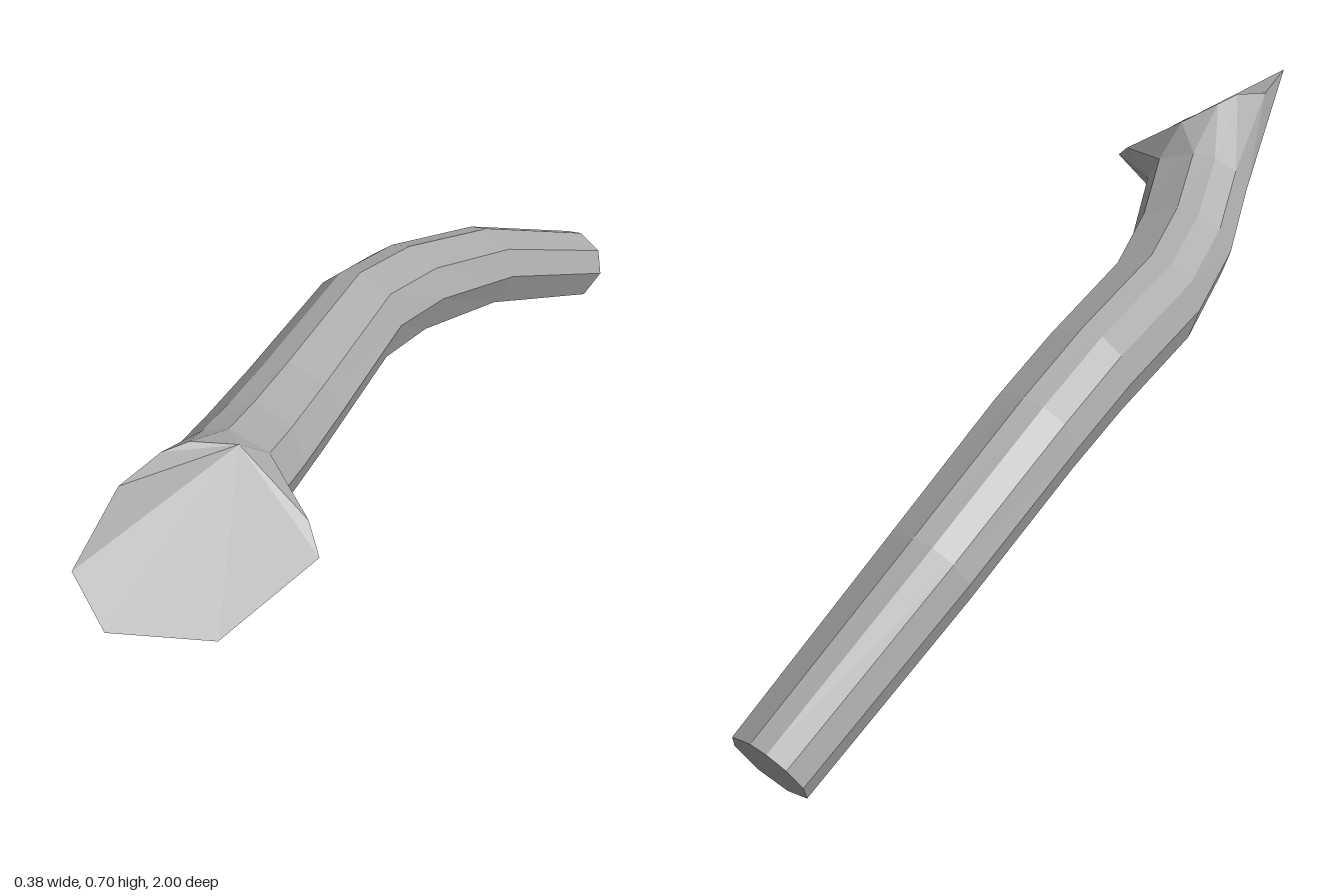
import * as THREE from 'three';

// Angles round the trunk, clockwise as seen from the front, starting on top
const ANGLES = [90, 45, 5, -45, -90, -140, -180, -215, -245];

// Centre x, y, z, half width, half height, pitch and yaw in degrees, back to front
const SECTIONS = [
  [0.11, 0.073, -0.965, 0.08, 0.076, 27, 17],
  [0.0, 0.268, -0.6, 0.09, 0.085, 25, 14],
  [-0.058, 0.385, -0.3, 0.094, 0.092, 18, 8],
  [-0.082, 0.428, -0.12, 0.094, 0.098, 7, 3],
  [-0.088, 0.436, 0.2, 0.101, 0.101, 3, 0],
  [-0.075, 0.475, 0.4, 0.104, 0.102, 20, -3],
  [-0.047, 0.54, 0.56, 0.105, 0.1, 27, -8],
];

// Rim of the slanted cut, with a spur on the left
const CUT_RIM = [
  [0, 0.665, 0.585], [0.135, 0.575, 0.62], [0.17, 0.54, 0.66],
  [0.105, 0.55, 0.9], [-0.03, 0.61, 1.0], [-0.1, 0.675, 0.96],
  [-0.12, 0.685, 0.77], [-0.085, 0.703, 0.69], [-0.06, 0.695, 0.64],
].map((p) => new THREE.Vector3(...p));

function makeRing([x, y, z, rx, ry, pitch, yaw]) {
  const p = THREE.MathUtils.degToRad(pitch);
  const w = THREE.MathUtils.degToRad(yaw);
  const right = new THREE.Vector3(Math.cos(w), 0, Math.sin(w));
  const up = new THREE.Vector3(Math.sin(p) * Math.sin(w), Math.cos(p), -Math.sin(p) * Math.cos(w));
  return ANGLES.map((deg) => {
    const a = THREE.MathUtils.degToRad(deg);
    return new THREE.Vector3(x, y, z)
      .addScaledVector(right, rx * Math.cos(a))
      .addScaledVector(up, ry * Math.sin(a));
  });
}

function facetMesh(name, points, material) {
  const geometry = new THREE.BufferGeometry().setFromPoints(points);
  geometry.computeVertexNormals();
  const mesh = new THREE.Mesh(geometry, material);
  mesh.name = name;
  return mesh;
}

// Fan of triangles closing a ring
function fan(ring, facesFront) {
  const points = [];
  for (let k = 1; k < ring.length - 1; k++) {
    points.push(ring[0], ring[facesFront ? k + 1 : k], ring[facesFront ? k : k + 1]);
  }
  return points;
}

export function createModel() {
  const group = new THREE.Group();
  group.name = 'branch';
  const wood = new THREE.MeshStandardMaterial({ color: 0xaaaaaa });
  wood.name = 'grey wood';
  wood.flatShading = true;

  // Bark: bands of facets between neighbouring rings
  const rings = [...SECTIONS.map(makeRing), CUT_RIM];
  const bark = [];
  for (let i = 0; i < rings.length - 1; i++) {
    for (let k = 0; k < ANGLES.length; k++) {
      const n = (k + 1) % ANGLES.length;
      const a = rings[i][k], b = rings[i][n];
      const c = rings[i + 1][k], d = rings[i + 1][n];
      bark.push(a, c, b, b, c, d);
    }
  }
  group.add(facetMesh('bark', bark, wood));

  // Cut ends
  group.add(facetMesh('slantedCut', fan(CUT_RIM, true), wood));
  group.add(facetMesh('backEnd', fan(rings[0], false), wood));
  return group;
}
